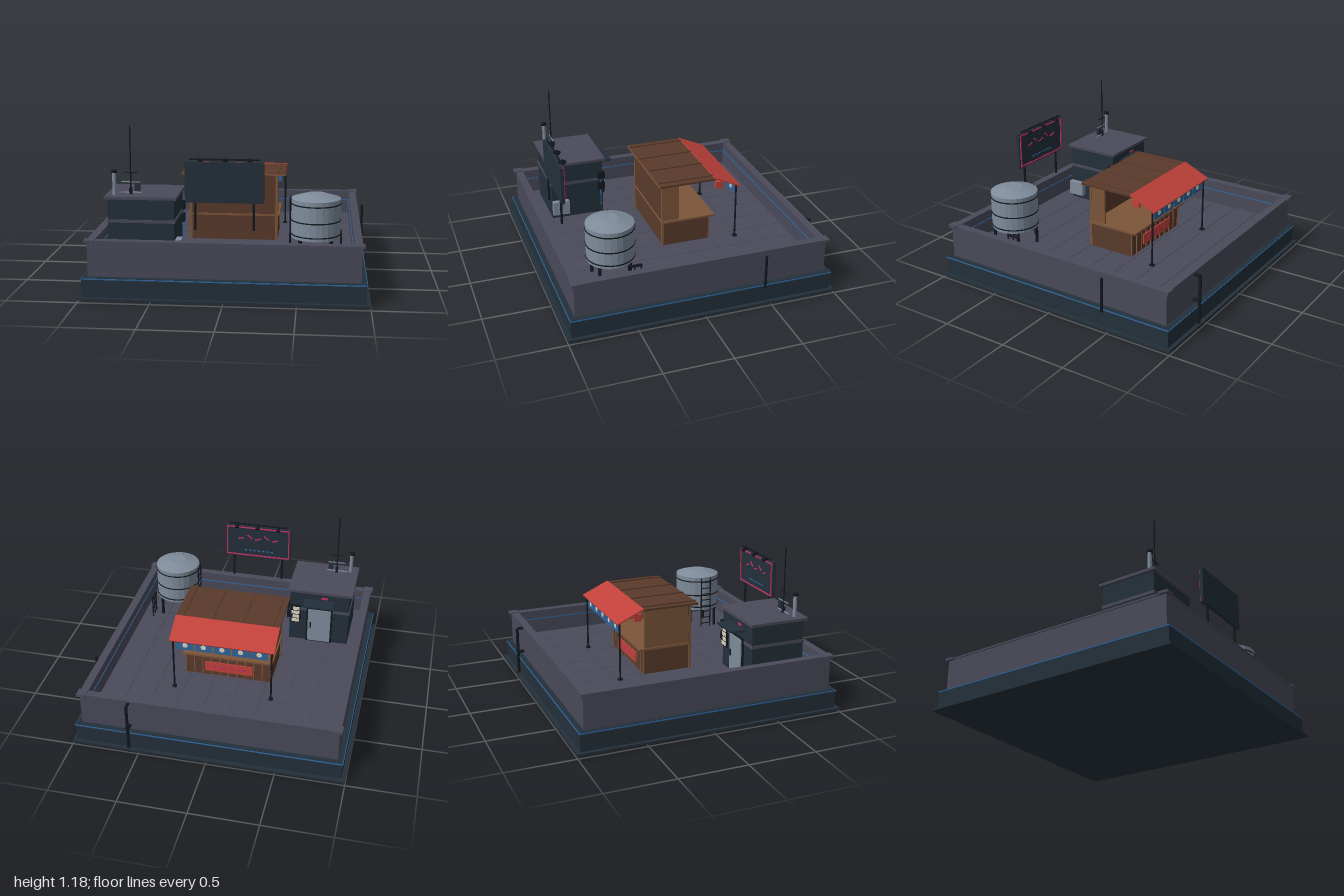
import * as THREE from 'three';

const paint = (name, color) => {
  const m = new THREE.MeshStandardMaterial({ color });
  m.name = name;
  return m;
};

export function createModel() {
  const concrete = paint('concrete', 0x4a4a5a), dark = paint('darkSteel', 0x24303a);
  const black = paint('blackMetal', 0x13191f), blue = paint('blue', 0x2f659c);
  const darkWood = paint('darkWood', 0x5a3a2b), wood = paint('lightWood', 0x7c5539);
  const red = paint('red', 0xc0423a), grey = paint('greyMetal', 0x7f8c9b);
  const pink = paint('pinkNeon', 0xc22f62), cream = paint('cream', 0xddd3c0);

  const model = new THREE.Group();
  let part = model;
  const startPart = (name) => {
    part = new THREE.Group();
    part.name = name;
    model.add(part);
  };
  const add = (name, geo, mat, x = 0, y = 0, z = 0) => {
    const m = new THREE.Mesh(geo, mat);
    m.name = name;
    m.position.set(x, y, z);
    part.add(m);
    return m;
  };
  // box given by its limits on each axis
  const box = (name, mat, x0, x1, y0, y1, z0, z1) =>
    add(name, new THREE.BoxGeometry(x1 - x0, y1 - y0, z1 - z0), mat, (x0 + x1) / 2, (y0 + y1) / 2, (z0 + z1) / 2);
  // upright rod
  const rod = (name, mat, x, z, y0, y1, r, sides = 8) =>
    add(name, new THREE.CylinderGeometry(r, r, y1 - y0, sides), mat, x, (y0 + y1) / 2, z);
  // pipe through points
  const pipe = (name, mat, pts, r) => {
    const path = new THREE.CurvePath();
    const v = pts.map((p) => new THREE.Vector3(...p));
    for (let i = 1; i < v.length; i++) path.add(new THREE.LineCurve3(v[i - 1], v[i]));
    return add(name, new THREE.TubeGeometry(path, 24, r, 8), mat);
  };
  // four strips forming a square ring
  const ring = (name, mat, inner, outer, y0, y1) => {
    for (const s of [-1, 1]) {
      const a = s < 0 ? -outer : inner, b = s < 0 ? -inner : outer;
      box(name, mat, -outer, outer, y0, y1, a, b);
      box(name, mat, a, b, y0, y1, -inner, inner);
    }
  };

  // Building block with parapet
  startPart('building');
  box('bottomLedge', dark, -1, 1, 0.015, 0.032, -1, 1);
  box('lowerStorey', dark, -0.972, 0.972, 0.032, 0.17, -0.972, 0.972);
  ring('blueStripe', blue, 0.972, 0.977, 0.158, 0.166);
  box('roofDeck', concrete, -0.9, 0.9, 0.17, 0.236, -0.9, 0.9);
  ring('parapet', concrete, 0.885, 0.935, 0.17, 0.412);
  ring('parapetCap', concrete, 0.885, 0.943, 0.412, 0.425);
  ring('innerNeon', blue, 0.88, 0.885, 0.35, 0.357);
  for (const x of [-1, 1]) for (const z of [-1, 1])
    add('cornerCap', new THREE.BoxGeometry(0.07, 0.02, 0.07), concrete, x * 0.92, 0.42, z * 0.92);
  const pitch = 0.196;
  for (let i = -4; i <= 4; i++) for (let j = -4; j <= 4; j++)
    add('floorTile', new THREE.BoxGeometry(pitch - 0.003, 0.006, pitch - 0.003), concrete, i * pitch, 0.237, j * pitch);

  // Drain pipes on the outer walls
  startPart('drainPipes');
  rod('sidePipe', black, 0.982, -0.45, 0.145, 0.405, 0.01);
  pipe('backPipe', black, [[0.575, 0.4, -0.93], [0.575, 0.4, -0.982], [0.575, 0, -0.982]], 0.012);
  box('pipeBracket', black, 0.56, 0.59, 0.2, 0.215, -0.985, -0.93);

  // Food stall
  startPart('stall');
  box('stallBase', darkWood, -0.33, 0.33, 0.24, 0.427, -0.265, 0.095);
  box('counter', wood, -0.345, 0.345, 0.427, 0.442, -0.31, 0.105);
  box('rearWall', darkWood, -0.335, 0.325, 0.442, 0.745, 0.08, 0.1);
  box('leftWall', wood, 0.315, 0.33, 0.442, 0.745, -0.03, 0.095);
  box('rightWall', wood, -0.335, -0.32, 0.442, 0.745, -0.265, 0.095);
  for (const x of [-0.328, 0.322]) box('rearPost', wood, x - 0.01, x + 0.01, 0.24, 0.745, 0.085, 0.103);
  box('frontBeam', wood, -0.335, 0.335, 0.715, 0.745, -0.27, -0.25);
  for (let i = 0; i <= 10; i++)
    box('frontSlat', wood, -0.332 + i * 0.0655, -0.323 + i * 0.0655, 0.24, 0.427, -0.272, -0.265);
  box('redBanner', red, -0.19, 0.18, 0.285, 0.365, -0.281, -0.272);
  for (let i = 0; i < 4; i++)
    box('bannerMark', pink, -0.13 + i * 0.075, -0.1 + i * 0.075, 0.315, 0.335, -0.283, -0.28);
  box('stallRoof', darkWood, -0.39, 0.39, 0.745, 0.76, -0.29, 0.135);
  for (const x of [-0.34, -0.115, 0.11, 0.335]) box('roofBatten', darkWood, x - 0.006, x + 0.006, 0.76, 0.768, -0.29, 0.135);
  for (const z of [-0.292, 0.137]) box('roofEdge', wood, -0.39, 0.39, 0.743, 0.757, z - 0.002, z + 0.002);

  // Sloping awning, its posts and hanging curtain
  startPart('awning');
  const slope = Math.atan2(0.092, 0.205);
  const sheet = add('awningSheet', new THREE.BoxGeometry(0.78, 0.01, 0.225), red, 0, 0.715, -0.391);
  sheet.rotation.x = -slope;
  for (const x of [-0.367, 0.367]) {
    rod('awningPost', black, x, -0.468, 0.24, 0.672, 0.007);
    box('postFoot', black, x - 0.015, x + 0.015, 0.24, 0.252, -0.483, -0.453);
    box('sideValance', red, x - 0.012, x + 0.012, 0.672, 0.725, -0.36, -0.3);
    const bracket = add('awningBracket', new THREE.BoxGeometry(0.008, 0.008, 0.055), black, x, 0.74, -0.335);
    bracket.rotation.x = -slope;
  }
  for (let i = -2; i <= 2; i++) {
    const x = i * 0.138;
    box('curtainPanel', blue, x - 0.064, x + 0.064, 0.588, 0.665, -0.468, -0.463);
    for (const s of [-1, 1]) {
      const disc = add('curtainDisc', new THREE.CylinderGeometry(0.02, 0.02, 0.002, 12), cream, x, 0.628, -0.4655 + s * 0.003);
      disc.rotation.x = Math.PI / 2;
    }
  }

  // Stair shed
  startPart('shed');
  box('shedBody', dark, -0.82, -0.355, 0.24, 0.682, 0.36, 0.77);
  box('shedBand', concrete, -0.826, -0.349, 0.515, 0.536, 0.354, 0.776);
  box('shedRoof', concrete, -0.842, -0.336, 0.682, 0.702, 0.34, 0.792);
  box('doorFrame', black, -0.695, -0.49, 0.24, 0.55, 0.347, 0.36);
  box('door', grey, -0.682, -0.503, 0.25, 0.538, 0.34, 0.348);
  box('doorHandle', black, -0.53, -0.52, 0.37, 0.42, 0.333, 0.34);
  box('doorCanopy', dark, -0.705, -0.475, 0.608, 0.622, 0.25, 0.36);
  box('doorLight', pink, -0.65, -0.6, 0.632, 0.648, 0.354, 0.36);
  box('noticeBoard', black, -0.44, -0.362, 0.4, 0.56, 0.345, 0.36);
  for (let i = 0; i < 4; i++)
    box('notice', cream, -0.433, -0.372 - (i % 2) * 0.01, 0.41 + i * 0.036, 0.437 + i * 0.036, 0.34, 0.345);
  box('coolingUnit', grey, -0.355, -0.315, 0.28, 0.39, 0.64, 0.77);
  box('neonTube', blue, -0.355, -0.347, 0.3, 0.59, 0.373, 0.381);
  for (const y of [0.44, 0.53]) box('meterBox', black, -0.355, -0.335, y, y + 0.06, 0.345, 0.4);

  // Vent and antenna on the shed roof
  startPart('roofEquipment');
  rod('ventPipe', grey, -0.78, 0.715, 0.702, 0.865, 0.014, 12);
  rod('ventCap', black, -0.78, 0.715, 0.858, 0.876, 0.022, 12);
  rod('antennaMast', black, -0.67, 0.685, 0.74, 1.185, 0.005);
  box('antennaBase', grey, -0.755, -0.59, 0.71, 0.717, 0.681, 0.689);
  box('mastFoot', black, -0.68, -0.66, 0.7, 0.745, 0.675, 0.695);
  box('antennaArm', grey, -0.735, -0.6, 0.785, 0.791, 0.682, 0.688);
  box('antennaArm', black, -0.715, -0.622, 0.852, 0.858, 0.682, 0.688);
  box('receiver', dark, -0.642, -0.605, 0.726, 0.78, 0.674, 0.696);

  // Water tank with hoops, legs, ladder and side pipe
  startPart('waterTank');
  const tx = 0.62, tz = 0.585;
  const profile = [[0, 0.4], [0.173, 0.4], [0.173, 0.677], [0.065, 0.71], [0, 0.71]];
  const tankGeo = new THREE.LatheGeometry(profile.map((p) => new THREE.Vector2(...p)), 24).toNonIndexed();
  tankGeo.computeVertexNormals();
  add('tank', tankGeo, grey, tx, 0, tz);
  for (const y of [0.425, 0.525, 0.642]) rod('hoop', black, tx, tz, y - 0.004, y + 0.004, 0.177, 24);
  for (const sx of [-1, 1]) for (const sz of [-1, 1]) rod('tankLeg', black, tx + sx * 0.11, tz + sz * 0.11, 0.24, 0.4, 0.012);
  for (const z of [0.545, 0.625]) rod('ladderRail', black, 0.441, z, 0.26, 0.675, 0.005);
  for (let i = 0; i < 8; i++) box('ladderRung', black, 0.438, 0.444, 0.285 + i * 0.05, 0.291 + i * 0.05, 0.545, 0.625);
  box('outletPipe', black, 0.793, 0.807, 0.395, 0.41, 0.41, 0.515);
  for (const z of [0.417, 0.463, 0.508]) rod('outletLeg', black, 0.8, z, 0.24, 0.4, 0.006);

  // Neon billboard facing the back
  startPart('billboard');
  box('signPanel', dark, -0.27, 0.27, 0.68, 0.96, 0.811, 0.835);
  for (const x of [-0.2, 0.2]) rod('signPost', black, x, 0.825, 0.49, 0.7, 0.009);
  for (const y of [0.69, 0.942]) box('neonFrame', pink, -0.255, 0.255, y, y + 0.008, 0.803, 0.811);
  for (const x of [-0.259, 0.251]) box('neonFrame', pink, x, x + 0.008, 0.69, 0.95, 0.803, 0.811);
  for (let i = 0; i < 5; i++) {
    const dash = add('neonDash', new THREE.BoxGeometry(0.05, 0.009, 0.006), pink, -0.14 + i * 0.07, 0.845 + (i % 2) * 0.02, 0.808);
    dash.rotation.z = i % 2 ? 0.7 : -0.3;
  }
  for (let i = 0; i < 7; i++) box('neonDot', blue, -0.125 + i * 0.036, -0.105 + i * 0.036, 0.735, 0.743, 0.805, 0.811);
  box('lampRail', black, -0.24, 0.24, 0.971, 0.981, 0.805, 0.815);
  for (const x of [-0.17, 0, 0.17]) {
    const lamp = add('signLamp', new THREE.CylinderGeometry(0.01, 0.018, 0.035, 10), black, x, 0.968, 0.788);
    lamp.rotation.x = 0.8;
    box('lampStem', black, x - 0.005, x + 0.005, 0.955, 0.98, 0.8, 0.82);
  }

  return model;
}
